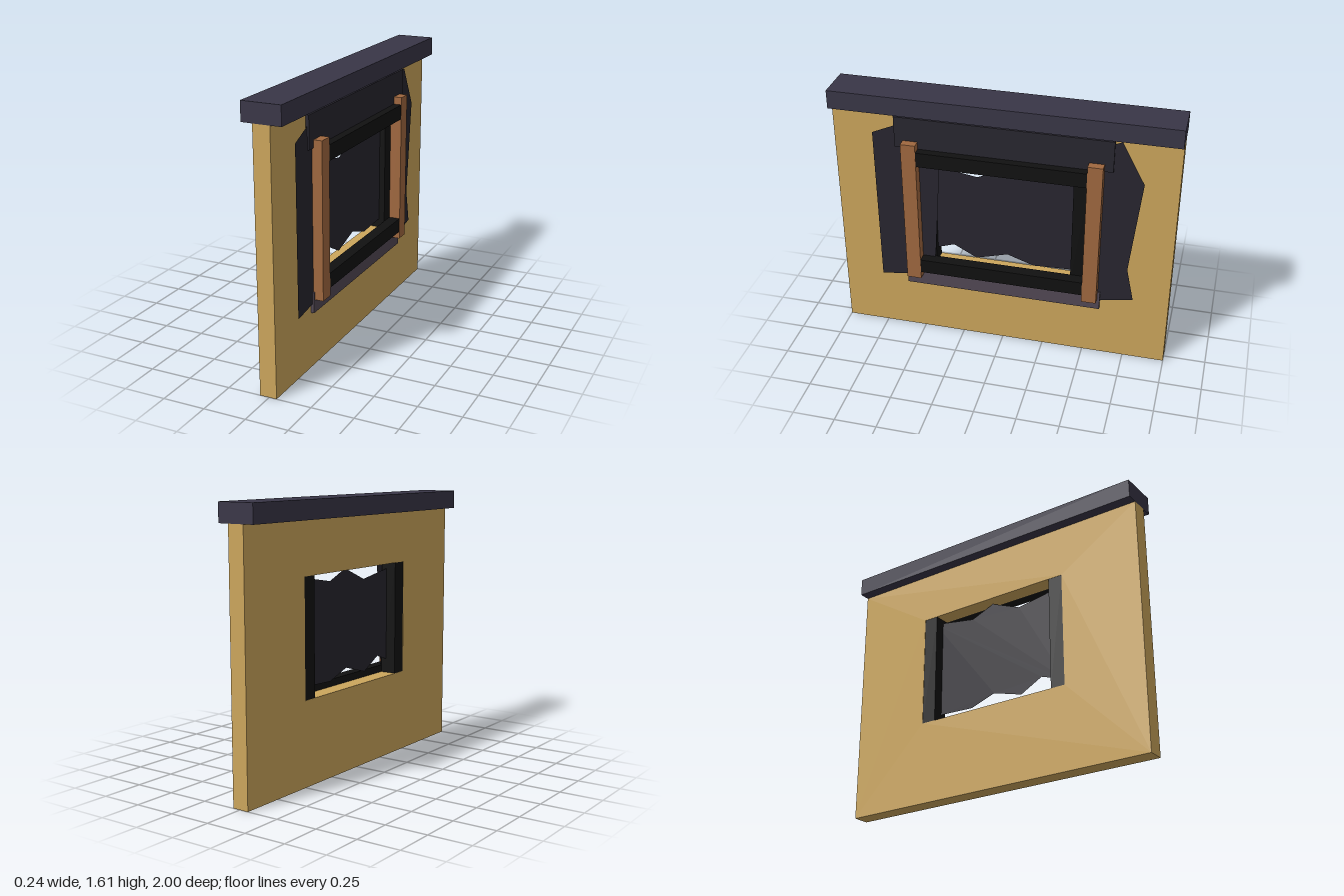
import * as THREE from 'three';

const TAN = 0xcca65c, SLATE = 0x393647, WOOD = 0xa0683f, BLACK = 0x111111, CLOTH = 0x28262f, SILL = 0x524854;

export function createModel() {
  const model = new THREE.Group();

  function add(name, geometry, color, side = THREE.FrontSide) {
    const mesh = new THREE.Mesh(geometry, new THREE.MeshStandardMaterial({ color, side }));
    mesh.name = name;
    model.add(mesh);
    return mesh;
  }

  // Box given by its extents on each axis
  function box(name, color, [x0, x1], [y0, y1], [z0, z1]) {
    const g = new THREE.BoxGeometry(x1 - x0, y1 - y0, z1 - z0);
    g.translate((x0 + x1) / 2, (y0 + y1) / 2, (z0 + z1) / 2);
    return add(name, g, color);
  }

  // Outline in (z, y), laid in a plane facing +x
  const outline = (pts) => pts.map(([z, y]) => new THREE.Vector2(-z, y));
  function sheet(name, x, pts) {
    const g = new THREE.ShapeGeometry(new THREE.Shape(outline(pts)));
    g.rotateY(Math.PI / 2).translate(x, 0, 0);
    return add(name, g, CLOTH, THREE.DoubleSide);
  }

  // Wall panel with window opening
  const wall = new THREE.Shape(outline([[1, 0], [-1, 0], [-1, 1.5], [1, 1.5]]));
  wall.holes.push(new THREE.Path(outline([[0.5, 0.5], [0.5, 1.19], [-0.5, 1.19], [-0.5, 0.5]])));
  const wallGeo = new THREE.ExtrudeGeometry(wall, { depth: 0.1, bevelEnabled: false });
  wallGeo.rotateY(Math.PI / 2).translate(-0.055, 0, 0);
  add('wall', wallGeo, TAN);

  // Cap beam along the top
  box('capBeam', SLATE, [-0.12, 0.11], [1.5, 1.61], [-1, 1]);

  // Boards above and below the window
  box('headerBoard', CLOTH, [0.045, 0.065], [1.28, 1.47], [-0.63, 0.63]);
  box('sillBoard', SILL, [0.045, 0.065], [0.335, 0.456], [-0.595, 0.595]);

  // Dark frame bars
  box('topBar', BLACK, [0.045, 0.113], [1.19, 1.28], [-0.575, 0.575]);
  box('bottomBar', BLACK, [0.045, 0.113], [0.455, 0.543], [-0.575, 0.575]);

  // Jamb bars in the opening and wooden posts in front of it
  for (const s of [-1, 1]) {
    const span = (a, b) => [Math.min(s * a, s * b), Math.max(s * a, s * b)];
    box('jambBar', BLACK, [-0.053, 0.045], [0.5, 1.19], span(0.41, 0.5));
    box('post', WOOD, [0.045, 0.115], [0.41, 1.325], span(0.493, 0.58));
  }

  // Torn cloth across the opening
  sheet('tornCloth', 0.01, [
    [0.47, 0.56], [0.41, 0.585], [0.31, 0.62], [0.17, 0.545], [-0.02, 0.6], [-0.18, 0.545], [-0.41, 0.555], [-0.47, 0.56],
    [-0.47, 1.18], [-0.41, 1.17], [-0.18, 1.13], [-0.03, 1.19], [0.16, 1.11], [0.37, 1.145], [0.47, 1.16],
  ]);

  // Ragged cloth hanging at each side
  sheet('leftCloth', 0.055, [
    [0.76, 0.365], [0.58, 0.39], [0.43, 0.42], [0.41, 0.6], [0.37, 1.19], [0.36, 1.32], [0.63, 1.41], [0.765, 1.35],
  ]);
  sheet('rightCloth', 0.055, [
    [-0.5, 0.38], [-0.6, 0.395], [-0.79, 0.43], [-0.745, 0.64], [-0.805, 1.22], [-0.67, 1.47], [-0.62, 1.45], [-0.5, 1.4],
  ]);

  return model;
}
